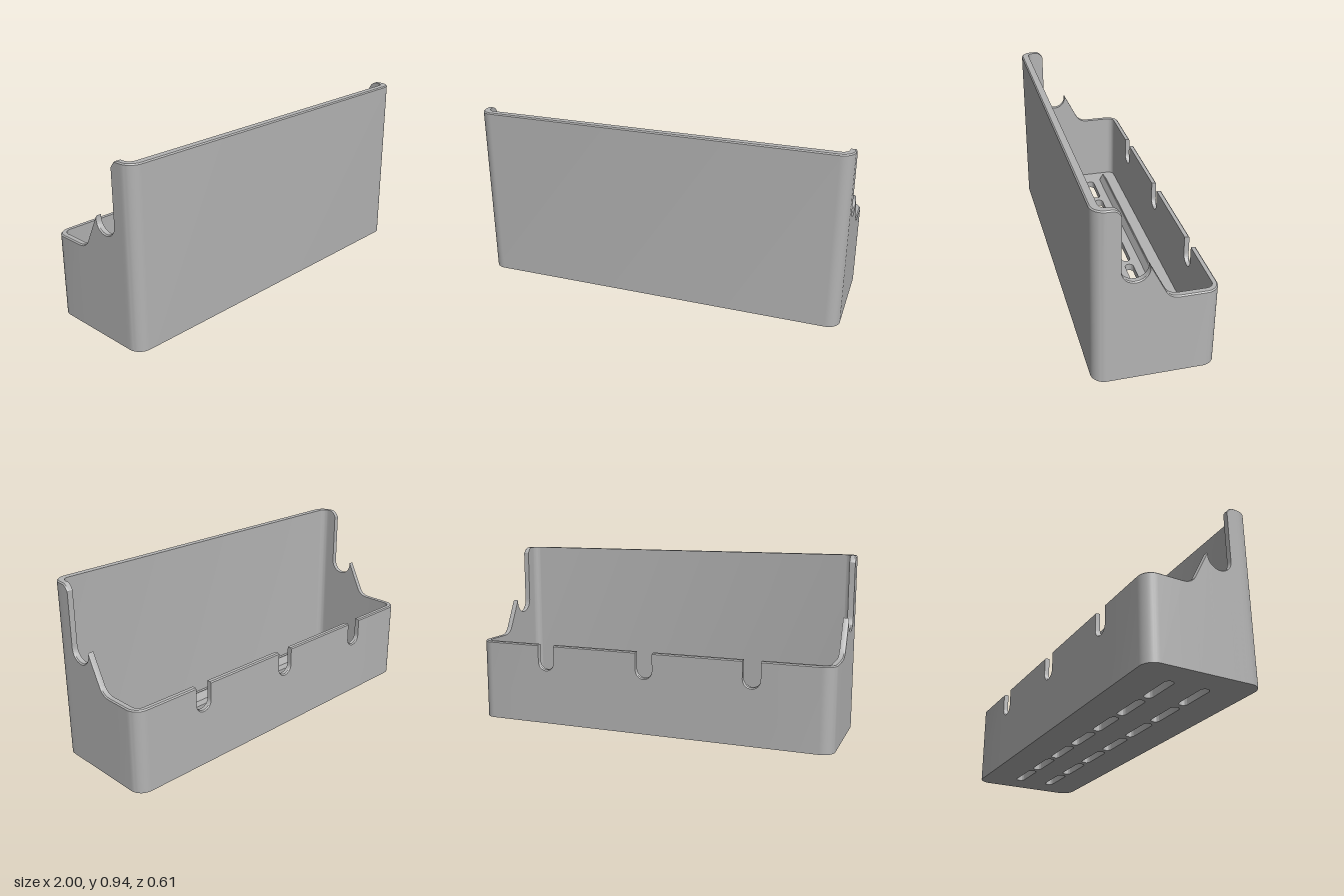
import * as THREE from 'three';
import { toCreasedNormals } from 'three/addons/utils/BufferGeometryUtils.js';

const HX = 1, HZ = 0.307, R = 0.068;              // outer footprint
const IX = 0.97, IBACK = -0.281, IFRONT = 0.267, IR = 0.038; // inner footprint
const LOW = 0.443, HIGH = 0.94, FLOOR = 0.04, CHAMFER = 0.006;

// Top edge of a side wall as [z, height], front to back
function sideProfile() {
  const p = [];
  const curve = (a, c, b) => new THREE.QuadraticBezierCurve(
    new THREE.Vector2(...a), new THREE.Vector2(...c), new THREE.Vector2(...b)
  ).getPoints(8).forEach(v => p.push([v.x, v.y]));
  curve([0.215, HIGH], [0.192, HIGH], [0.175, 0.908]);
  for (let k = 0; k <= 16; k++) {
    const t = Math.PI * k / 16;
    p.push([0.1075 + 0.0675 * Math.cos(t), 0.6245 - 0.0675 * Math.sin(t)]);
  }
  p.push([0.04, 0.633]);
  curve([-0.035, 0.485], [-0.056, LOW], [-0.108, LOW]);
  return p;
}

// Top edge of the back wall as [x, height], with three U-shaped notches
function backProfile() {
  const p = [], w = 0.0475, y = 0.352;
  for (const cx of [0.585, 0, -0.585]) {
    p.push([cx + w, LOW]);
    for (let k = 0; k <= 16; k++) {
      const t = Math.PI * k / 16;
      p.push([cx + w * Math.cos(t), y - w * Math.sin(t)]);
    }
    p.push([cx - w, LOW]);
  }
  return p;
}

// Wall columns around the perimeter: outer point, inner point, normal, height
function wallColumns() {
  const cols = [];
  const side = sideProfile();
  const addSide = (s, prof) => prof.forEach(([z, h]) =>
    cols.push({ o: [s * HX, z], i: [s * IX, z], n: [s, 0], h }));
  const addCorner = (sx, sz, start, h) => {
    for (let k = 0; k <= 10; k++) {
      const t = start + Math.PI / 2 * k / 10, nx = Math.cos(t), nz = -Math.sin(t);
      const iz = sz < 0 ? IBACK + IR : IFRONT - IR;
      cols.push({
        o: [sx * (HX - R) + R * nx, sz * (HZ - R) + R * nz],
        i: [sx * (IX - IR) + IR * nx, iz + IR * nz], n: [nx, nz], h
      });
    }
  };
  addSide(1, side);
  addCorner(1, -1, 0, LOW);
  backProfile().forEach(([x, h]) => cols.push({ o: [x, -HZ], i: [x, IBACK], n: [0, -1], h }));
  addCorner(-1, -1, Math.PI / 2, LOW);
  addSide(-1, side.slice().reverse());
  addCorner(-1, 1, Math.PI, HIGH);
  addCorner(1, 1, Math.PI * 1.5, HIGH);
  return cols;
}

// Each column becomes a cross-section; neighbours are joined by quads
function wallGeometry() {
  const sections = wallColumns().map(({ o, i, n, h }) => {
    const at = ([x, z], y) => new THREE.Vector3(x, y, z);
    const inset = [o[0] - n[0] * CHAMFER, o[1] - n[1] * CHAMFER];
    return [at(o, 0), at(o, h - CHAMFER), at(inset, h), at(i, h), at(i, FLOOR - 0.005)];
  });
  const pos = [];
  const tri = (a, b, c) => {
    if (new THREE.Triangle(a, b, c).getArea() > 1e-8)
      for (const v of [a, b, c]) pos.push(v.x, v.y, v.z);
  };
  sections.forEach((a, k) => {
    const b = sections[(k + 1) % sections.length];
    for (let j = 0; j < a.length - 1; j++) {
      tri(a[j], b[j], b[j + 1]);
      tri(a[j], b[j + 1], a[j + 1]);
    }
  });
  const g = new THREE.BufferGeometry();
  g.setAttribute('position', new THREE.Float32BufferAttribute(pos, 3));
  return toCreasedNormals(g, 0.5);
}

// Rounded rectangle outline centred on (cx, cy)
function roundedRect(path, cx, cy, hx, hy, r) {
  path.absarc(cx + hx - r, cy + hy - r, r, 0, Math.PI / 2);
  path.absarc(cx - hx + r, cy + hy - r, r, Math.PI / 2, Math.PI);
  path.absarc(cx - hx + r, cy - hy + r, r, Math.PI, Math.PI * 1.5);
  path.absarc(cx + hx - r, cy - hy + r, r, Math.PI * 1.5, Math.PI * 2);
  path.closePath();
  return path;
}

// Floor plate with two rows of drain slots
function floorGeometry() {
  const e = 0.001;
  const shape = roundedRect(new THREE.Shape(), 0, 0, HX - e, HZ - e, R);
  for (const z of [-0.096, 0.096])
    for (let k = -3; k <= 3; k++)
      shape.holes.push(roundedRect(new THREE.Path(), k * 0.25, z, 0.108, 0.024, 0.0239));
  const g = new THREE.ExtrudeGeometry(shape, { depth: FLOOR, bevelEnabled: false, curveSegments: 8 });
  g.rotateX(-Math.PI / 2);
  return toCreasedNormals(g, 0.5);
}

// Ridge running along x
function ribGeometry() {
  const s = new THREE.Shape();
  s.moveTo(-0.024, -0.005);
  s.lineTo(0.024, -0.005);
  s.lineTo(0.024, 0);
  s.lineTo(0.003, 0.04);
  s.lineTo(-0.003, 0.04);
  s.lineTo(-0.024, 0);
  const g = new THREE.ExtrudeGeometry(s, { depth: 1.75, bevelEnabled: false });
  g.translate(0, 0, -0.875);
  g.rotateY(Math.PI / 2);
  return g;
}

export function createModel() {
  const group = new THREE.Group();
  group.name = 'holderTray';
  const grey = new THREE.MeshStandardMaterial({ color: 0xb4b4b4 });
  grey.name = 'grey plastic';
  const add = (name, geometry) => {
    const m = new THREE.Mesh(geometry, grey);
    m.name = name;
    group.add(m);
    return m;
  };

  add('walls', wallGeometry());
  add('slottedFloor', floorGeometry());
  const rib = ribGeometry();
  [-0.192, 0, 0.192].forEach((z, k) => add('floorRib' + (k + 1), rib).position.set(0, FLOOR, z));
  return group;
}
